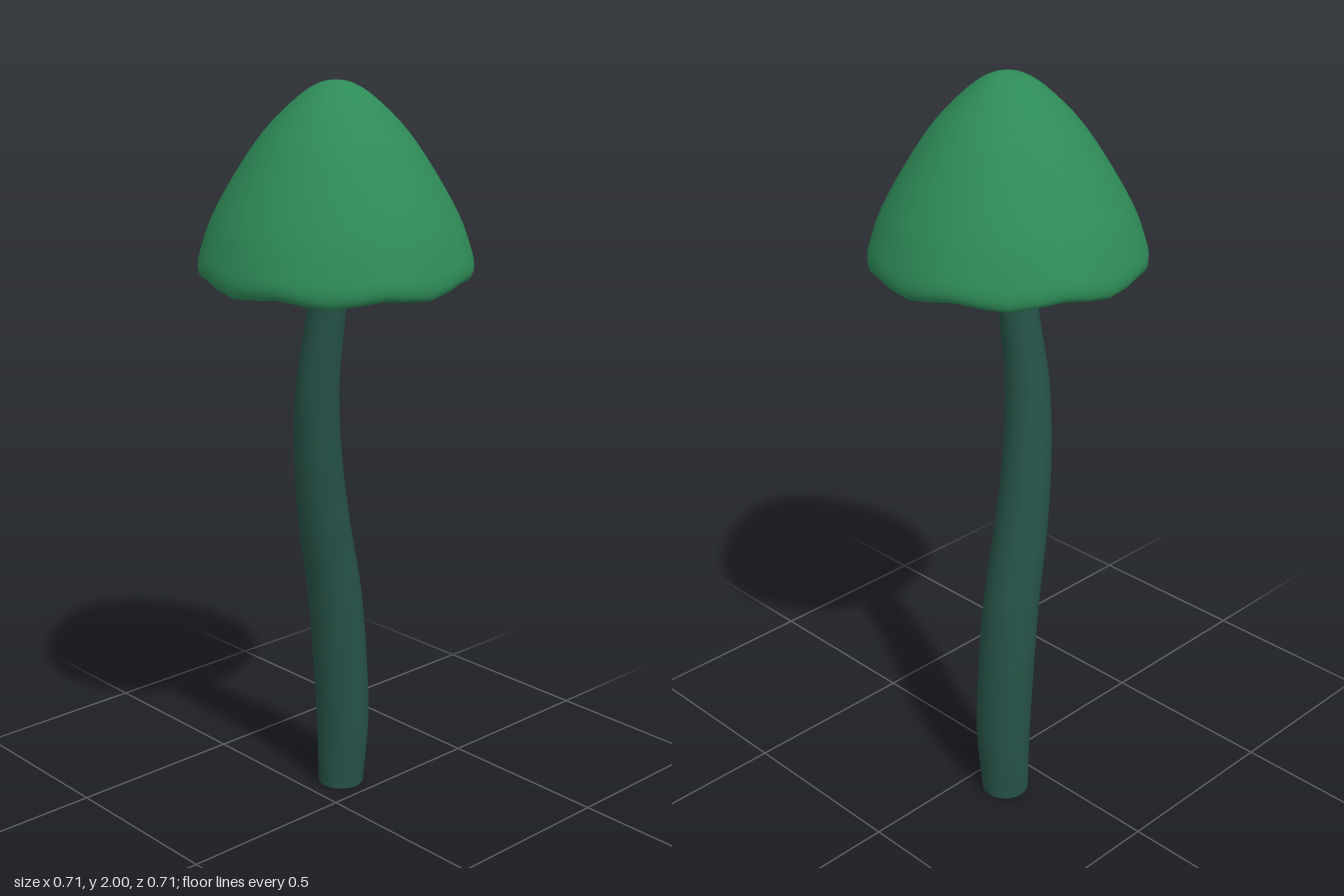
import * as THREE from 'three';
import { mergeVertices } from 'three/addons/utils/BufferGeometryUtils.js';

// Moves every vertex by a rule, welds the seam and rebuilds smooth normals
function reshape(geometry, rule, attributesToDrop) {
  const pos = geometry.attributes.position;
  const v = new THREE.Vector3();
  for (let i = 0; i < pos.count; i++) {
    rule(v.fromBufferAttribute(pos, i));
    pos.setXYZ(i, v.x, v.y, v.z);
  }
  attributesToDrop.forEach((name) => geometry.deleteAttribute(name));
  const welded = mergeVertices(geometry, 1e-5);
  welded.computeVertexNormals();
  return welded;
}

// Bell-shaped cap: pleated hollow inside, curled wavy rim, smooth dome outside
function createCap() {
  const inner = new THREE.SplineCurve([
    [0, 0.42], [0.08, 0.37], [0.18, 0.25], [0.26, 0.12], [0.305, 0.03], [0.32, 0],
  ].map(([r, y]) => new THREE.Vector2(r, y))).getPoints(16);
  const outer = new THREE.SplineCurve([
    [0.32, 0], [0.336, -0.01], [0.35, 0.002], [0.353, 0.03], [0.34, 0.075], [0.31, 0.15],
    [0.25, 0.255], [0.18, 0.355], [0.1, 0.435], [0.045, 0.471], [0, 0.481],
  ].map(([r, y]) => new THREE.Vector2(r, y))).getPoints(36);
  // Keep both ends exactly on the axis
  inner[0].x = 0;
  outer[outer.length - 1].x = 0;
  const innerRows = inner.length;
  const profile = [...inner, ...outer.slice(1)];

  const lathe = new THREE.LatheGeometry(profile, 32);
  let index = 0;
  const geometry = reshape(lathe, (p) => {
    const isInner = index++ % profile.length < innerRows;
    const lobes = Math.cos(8 * Math.atan2(p.x, p.z));
    const nearRim = Math.max(0, 1 - Math.max(p.y, 0) / 0.1);
    // Shallow pleats fade out towards the top and the rim
    if (isInner) {
      const s = 1 + 0.035 * lobes * Math.sin(Math.PI * THREE.MathUtils.clamp(p.y / 0.42, 0, 1));
      p.x *= s;
      p.z *= s;
    }
    p.y -= 0.008 * lobes * nearRim;
  }, ['uv', 'normal']);

  const cap = new THREE.Mesh(geometry, new THREE.MeshStandardMaterial({ color: 0x2e8b57 }));
  cap.name = 'cap';
  cap.position.y = 1.52;
  cap.rotation.set(0.04, 0, 0.035);
  return cap;
}

// Curved, tapering stem, running up into the cap
function createStem() {
  const height = 1.8;
  // x centre, radius, z centre at even steps of height
  const sections = new THREE.CatmullRomCurve3([
    [0.11, 0.064, -0.098], [0.113, 0.074, -0.094], [0.1, 0.076, -0.093], [0.077, 0.075, -0.09],
    [0.035, 0.071, -0.083], [0, 0.065, -0.07], [-0.02, 0.058, -0.05], [-0.013, 0.051, -0.024],
    [-0.01, 0.046, -0.003], [-0.01, 0.043, 0.01],
  ].map((s) => new THREE.Vector3(...s)), false, 'catmullrom', 0.5);

  const geometry = reshape(new THREE.CylinderGeometry(1, 1, height, 24, 36), (p) => {
    const t = THREE.MathUtils.clamp(p.y / height + 0.5, 0, 1);
    const s = sections.getPoint(t);
    p.set(s.x + p.x * s.y, t * height, s.z + p.z * s.y);
  }, ['uv']);

  const stem = new THREE.Mesh(geometry, new THREE.MeshStandardMaterial({ color: 0x265247 }));
  stem.name = 'stem';
  return stem;
}

export function createModel() {
  const mushroom = new THREE.Group();
  mushroom.name = 'mushroom';
  mushroom.add(createStem(), createCap());
  return mushroom;
}
